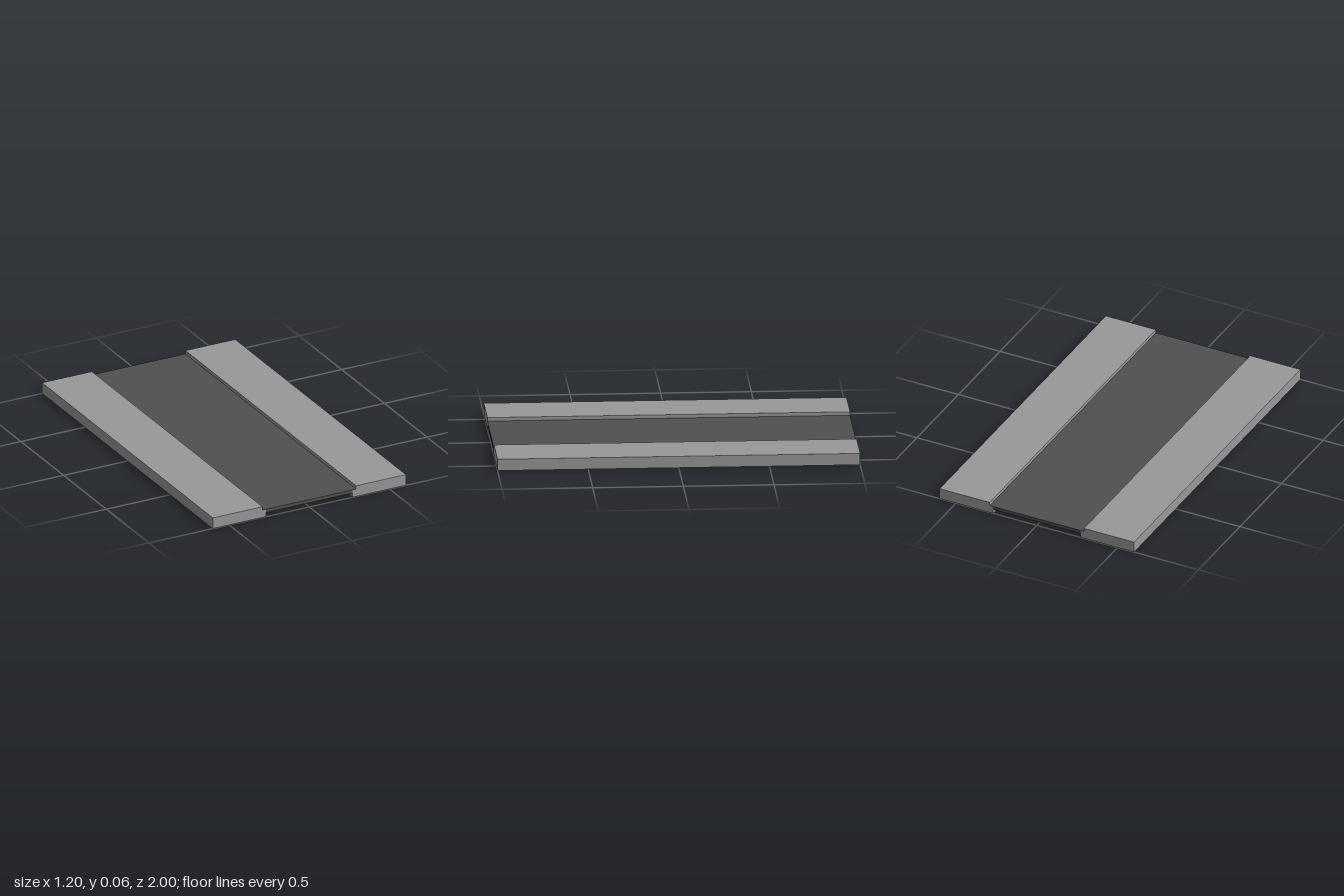
import * as THREE from 'three';

const LENGTH = 2;

export function createModel() {
  const model = new THREE.Group();
  const concrete = new THREE.MeshStandardMaterial({ color: 0x999999 });
  concrete.name = 'lightGrey';
  const asphalt = new THREE.MeshStandardMaterial({ color: 0x505050 });
  asphalt.name = 'darkGrey';

  // Extrude a cross-section (x, y) along the full length
  const addStrip = (name, points, material) => {
    const shape = new THREE.Shape(points.map(([x, y]) => new THREE.Vector2(x, y)));
    const geometry = new THREE.ExtrudeGeometry(shape, { depth: LENGTH, bevelEnabled: false });
    geometry.translate(0, 0, -LENGTH / 2);
    const mesh = new THREE.Mesh(geometry, material);
    mesh.name = name;
    model.add(mesh);
  };

  // Raised side walks, each with a small ledge carrying the road edge
  for (const [name, s] of [['leftSidewalk', 1], ['rightSidewalk', -1]]) {
    addStrip(name, [
      [0.27 * s, 0], [0.602 * s, 0], [0.602 * s, 0.065],
      [0.292 * s, 0.065], [0.292 * s, 0.044], [0.27 * s, 0.044],
    ], concrete);
  }

  // Road slab, its top skin lapping over both ledges
  addStrip('road', [
    [-0.27, 0.025], [0.27, 0.025], [0.27, 0.044], [0.292, 0.044],
    [0.292, 0.045], [-0.292, 0.045], [-0.292, 0.044], [-0.27, 0.044],
  ], asphalt);

  return model;
}
